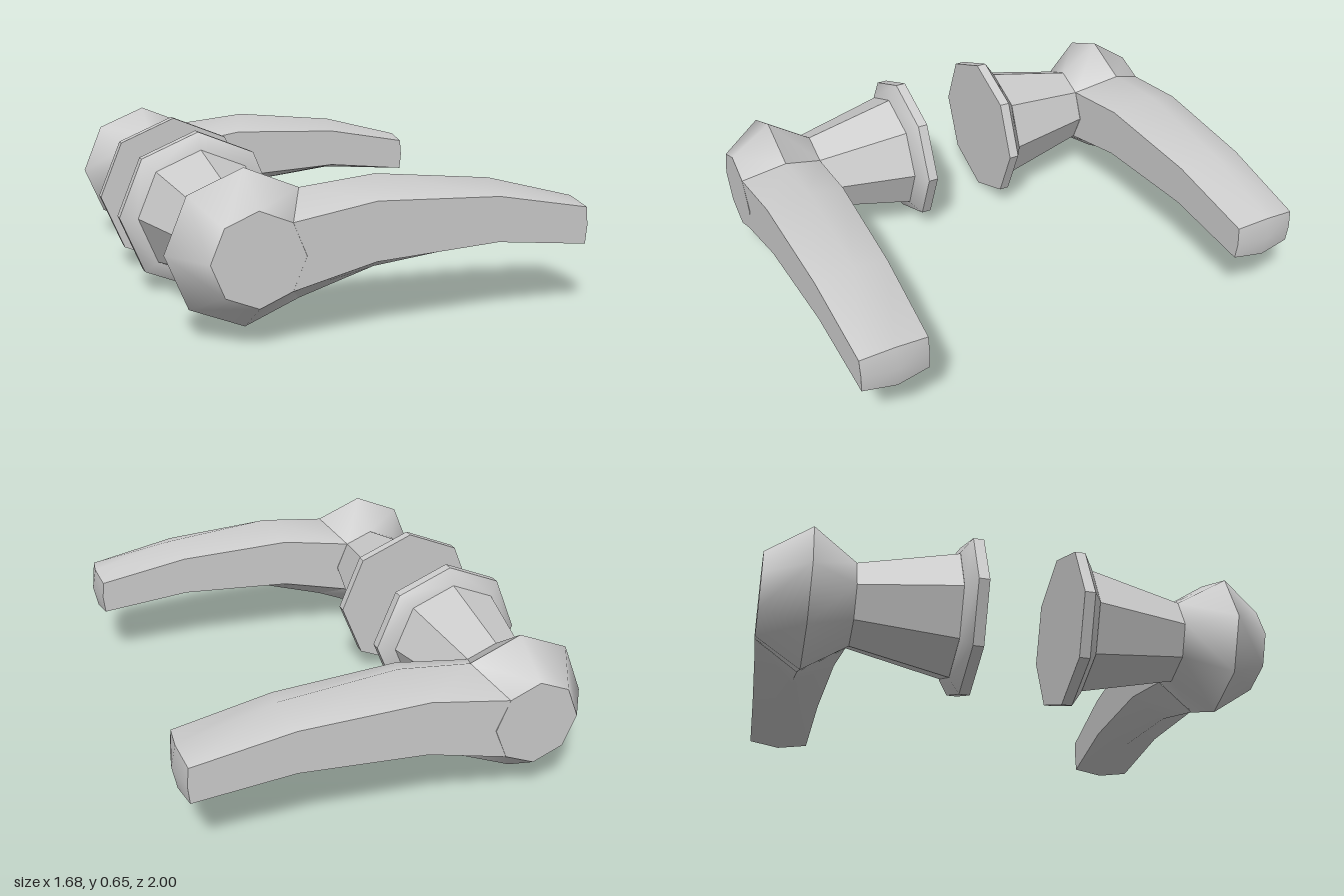
import * as THREE from 'three';
import { toCreasedNormals } from 'three/addons/utils/BufferGeometryUtils.js';

const AXIS_X = -0.52, AXIS_Y = 0.33, MID_Z = 0.826;
const material = new THREE.MeshStandardMaterial({ color: 0xcccccc });

// Skins rings of [x, y, z] points; side = -1 mirrors the part in z.
function loft(name, rings, startCap, endCap, crease, side) {
  const pos = [];
  const tri = (a, b, c) => {
    for (const p of side > 0 ? [a, b, c] : [a, c, b]) pos.push(p[0], p[1], p[2] * side);
  };
  const n = rings[0].length;
  for (let j = 0; j < n; j++) {
    const k = (j + 1) % n;
    for (let i = 0; i + 1 < rings.length; i++) {
      tri(rings[i][j], rings[i][k], rings[i + 1][k]);
      tri(rings[i][j], rings[i + 1][k], rings[i + 1][j]);
    }
    const last = rings[rings.length - 1];
    if (startCap) tri(startCap, rings[0][k], rings[0][j]);
    if (endCap) tri(endCap, last[j], last[k]);
  }
  const geo = new THREE.BufferGeometry();
  geo.setAttribute('position', new THREE.Float32BufferAttribute(pos, 3));
  const mesh = new THREE.Mesh(toCreasedNormals(geo, crease), material);
  mesh.name = name;
  return mesh;
}

// Octagonal turned part from [radius, z] pairs
function turned(name, profile, side) {
  const rings = profile.map(([r, z]) => Array.from({ length: 8 }, (_, i) => {
    const a = i * Math.PI / 4;
    return [AXIS_X + r * Math.cos(a), AXIS_Y + r * Math.sin(a), z];
  }));
  const cap = ([, z]) => [AXIS_X, AXIS_Y, z];
  return loft(name, rings, cap(profile[0]), cap(profile[profile.length - 1]), 0.7, side);
}

// Lever section: ridges above and below, flat front and back
function leverRing({ ridge, face, mid }) {
  const [rx, rTop, rBottom] = ridge, [fx, fTop, fBottom] = face;
  const halfDepth = x => 0.174 - 0.041 * (x + 0.4) / 1.21;
  const d = halfDepth(fx), dm = halfDepth(mid), my = (fTop + fBottom) / 2;
  return [
    [rx, rTop, MID_Z],
    [fx, fTop, MID_Z + d], [mid, my, MID_Z + dm], [fx, fBottom, MID_Z + d],
    [rx, rBottom, MID_Z],
    [fx, fBottom, MID_Z - d], [mid, my, MID_Z - dm], [fx, fTop, MID_Z - d],
  ];
}

function doorHandle(name, side) {
  const handle = new THREE.Group();
  handle.name = name;

  // Wall plate with bevelled rim
  handle.add(turned('mountingPlate', [[0.325, 0.183], [0.325, 0.225], [0.265, 0.265]], side));
  // Tapered neck flowing into the faceted knuckle
  handle.add(turned('neckAndKnuckle', [[0.26, 0.26], [0.172, 0.652], [0.29, MID_Z], [0.172, 1]], side));

  // Drooping, tapering grip
  const sections = [
    { ridge: [-0.315, 0.535, 0.125], face: [-0.398, 0.452, 0.208], mid: -0.348 },
    { ridge: [-0.02, 0.565, 0.215], face: [-0.08, 0.5, 0.28], mid: -0.07 },
    { ridge: [0.45, 0.517, 0.265], face: [0.42, 0.475, 0.302], mid: 0.42 },
    { ridge: [0.822, 0.42, 0.24], face: [0.808, 0.402, 0.257], mid: 0.815 },
  ];
  handle.add(loft('lever', sections.map(leverRing), null, [0.84, 0.33, MID_Z], 0.9, side));
  return handle;
}

export function createModel() {
  const model = new THREE.Group();
  model.name = 'doorHandlePair';
  model.add(doorHandle('frontHandle', 1), doorHandle('backHandle', -1));
  return model;
}
